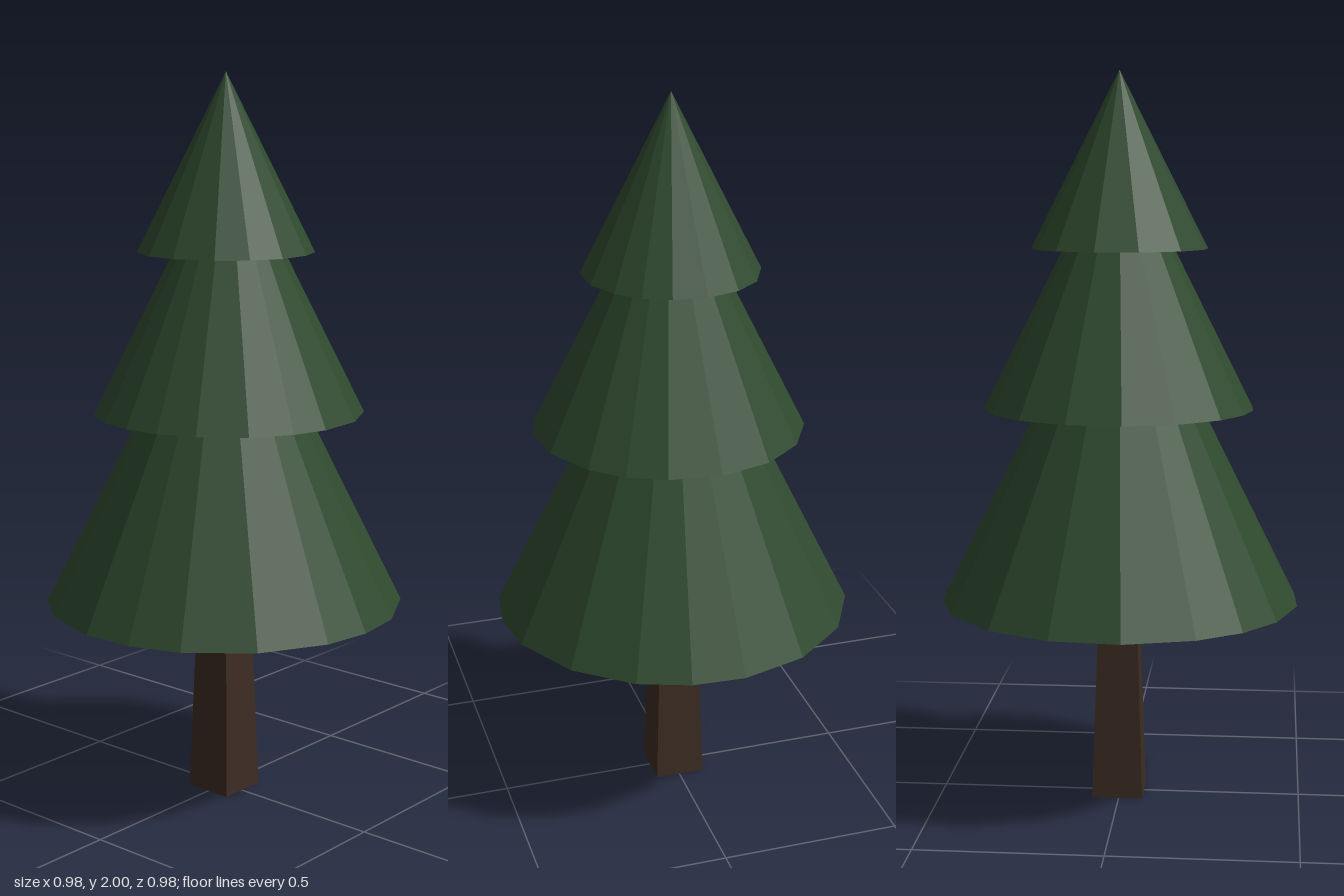
import * as THREE from 'three';

const needles = new THREE.MeshStandardMaterial({ color: 0x2f4a2f });
needles.name = 'pineGreen';
needles.flatShading = true;
const bark = new THREE.MeshStandardMaterial({ color: 0x3d2d23 });
bark.name = 'barkBrown';
bark.flatShading = true;

// Closed cone with uneven facets; angles in degrees, counter-clockwise from above
function unevenCone(radius, height, angles) {
  const rim = angles.map((deg) => {
    const a = THREE.MathUtils.degToRad(deg);
    return [radius * Math.cos(a), 0, -radius * Math.sin(a)];
  });
  const points = [];
  rim.forEach((p, i) => {
    const q = rim[(i + 1) % rim.length];
    points.push(...p, ...q, 0, height, 0); // side facet
    points.push(...q, ...p, 0, 0, 0); // underside wedge
  });
  const geometry = new THREE.BufferGeometry();
  geometry.setAttribute('position', new THREE.Float32BufferAttribute(points, 3));
  geometry.computeVertexNormals();
  return geometry;
}

const tiers = [
  { name: 'lowerBranches', x: 0, y: 0.555, z: -0.002, radius: 0.493, height: 0.99,
    angles: [0, 17, 40, 62, 79, 96, 118, 141, 163, 185, 208, 225, 242, 264, 281, 298, 321, 344] },
  { name: 'middleBranches', x: 0.012, y: 1.09, z: -0.006, radius: 0.37, height: 0.735,
    angles: [16, 39, 56, 73, 95, 118, 140, 163, 186, 208, 231, 249, 265, 281, 298, 319, 338, 354] },
  { name: 'upperBranches', x: 0.004, y: 1.525, z: -0.004, radius: 0.24, height: 0.475,
    angles: [13, 36, 55, 74, 96, 119, 141, 169, 197, 227, 254, 276, 304, 326, 349] },
];

export function createModel() {
  const tree = new THREE.Group();
  tree.name = 'pineTree';

  // Square tapering trunk, its top tucked into the lowest branches
  const trunkGeometry = new THREE.CylinderGeometry(0.052 * Math.SQRT2, 0.07 * Math.SQRT2, 0.57, 4);
  trunkGeometry.rotateY(Math.PI / 4);
  const trunk = new THREE.Mesh(trunkGeometry, bark);
  trunk.name = 'trunk';
  trunk.position.set(-0.002, 0.285, -0.004);
  tree.add(trunk);

  // Three stacked tiers of branches
  for (const t of tiers) {
    const mesh = new THREE.Mesh(unevenCone(t.radius, t.height, t.angles), needles);
    mesh.name = t.name;
    mesh.position.set(t.x, t.y, t.z);
    tree.add(mesh);
  }
  return tree;
}
